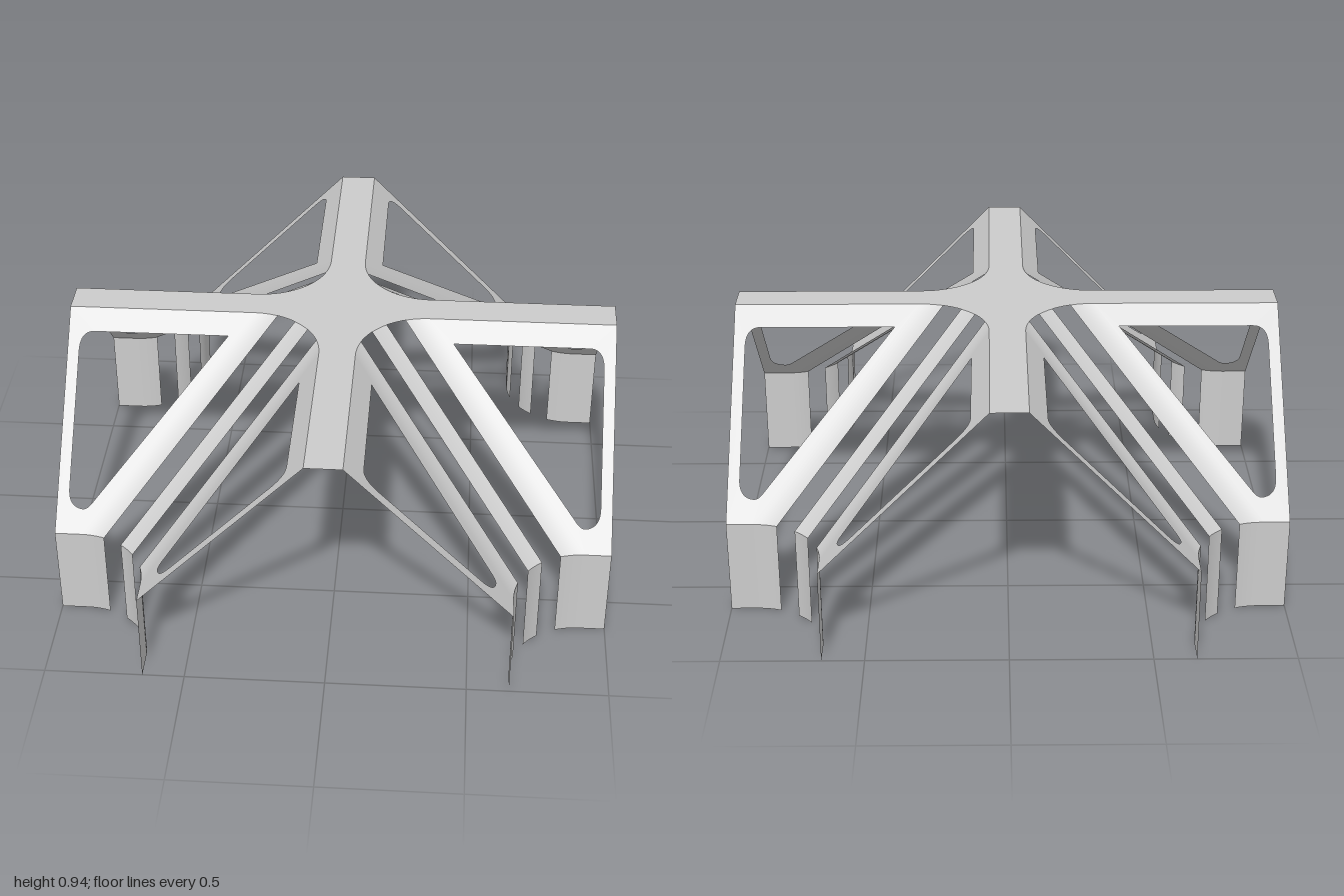
import * as THREE from 'three';

const TOP = 0.945, KNEE = 0.345;   // heights of the roof and of the bend into the legs
const HALF = 0.065, R = 0.256;     // half width of an arm, fillet radius between arms
const C = HALF + R;                // fillet centre
const RUN = 0.585;                 // sideways run of the sloping sheets

const steel = new THREE.MeshStandardMaterial({ color: 0xcccccc, side: THREE.DoubleSide });
steel.name = 'lightGreyMetal';

// Plan points [x, z] on the fillet, from angle a0 to a1 in degrees
function fillet(a0, a1, n) {
  return Array.from({ length: n + 1 }, (_, i) => {
    const a = THREE.MathUtils.degToRad(a0 + (a1 - a0) * i / n);
    return [C - R * Math.sin(a), C - R * Math.cos(a)];
  });
}

// Sheet ruled between a plan curve shifted by s0 at height y0 and by s1 at y1
function ruled(curve, s0, y0, s1, y1) {
  const pos = [], index = [], n = curve.length;
  for (const [s, y] of [[s0, y0], [s1, y1]])
    for (const [x, z] of curve) pos.push(x + s, y, z + s);
  for (let i = 0; i < n - 1; i++) index.push(i, n + i, i + 1, i + 1, n + i, n + i + 1);
  const g = new THREE.BufferGeometry();
  g.setAttribute('position', new THREE.Float32BufferAttribute(pos, 3));
  g.setIndex(index);
  g.computeVertexNormals();
  return g;
}

// Flat part of a sloping panel with its rounded triangular window
function panelGeometry() {
  const s = new THREE.Shape();
  s.moveTo(C, TOP);
  s.lineTo(C + RUN, KNEE);
  s.lineTo(1, KNEE);
  s.lineTo(1, TOP);
  s.closePath();
  const h = new THREE.Path();
  h.moveTo(0.412, 0.88);
  h.lineTo(0.905, 0.88);
  h.quadraticCurveTo(0.957, 0.88, 0.957, 0.825);
  h.lineTo(0.957, 0.465);
  h.quadraticCurveTo(0.957, 0.415, 0.905, 0.411);
  h.quadraticCurveTo(0.888, 0.411, 0.874, 0.425);
  h.closePath();
  s.holes.push(h);
  const g = new THREE.ShapeGeometry(s, 10), p = g.attributes.position;
  for (let i = 0; i < p.count; i++) p.setZ(i, HALF + RUN * (TOP - p.getY(i)) / (TOP - KNEE));
  g.computeVertexNormals();
  return g;
}

// Mirror a geometry across the diagonal x = z, keeping faces outward
function swapXZ(source) {
  const g = source.clone(), p = g.attributes.position, ix = g.index;
  for (let i = 0; i < p.count; i++) p.setXYZ(i, p.getZ(i), p.getY(i), p.getX(i));
  for (let i = 0; i < ix.count; i += 3) {
    const b = ix.getX(i + 1);
    ix.setX(i + 1, ix.getX(i + 2));
    ix.setX(i + 2, b);
  }
  g.computeVertexNormals();
  return g;
}

// Flat cross-shaped roof with filleted inner corners
function roofGeometry() {
  const s = new THREE.Shape();
  for (let k = 0; k < 4; k++) {
    const c = Math.round(Math.cos(k * Math.PI / 2)), n = Math.round(Math.sin(k * Math.PI / 2));
    const quarter = [[1, -HALF], [1, HALF], ...fillet(0, 90, 24)];
    quarter.forEach(([x, y], i) => {
      const q = [x * c - y * n, x * n + y * c];
      if (k === 0 && i === 0) s.moveTo(...q); else s.lineTo(...q);
    });
  }
  s.closePath();
  return new THREE.ShapeGeometry(s).rotateX(-Math.PI / 2).translate(0, TOP, 0);
}

export function createModel() {
  const model = new THREE.Group();
  model.name = 'canopyFrame';
  const add = (parent, name, geometry) => {
    const m = new THREE.Mesh(geometry, steel);
    m.name = name;
    parent.add(m);
  };

  add(model, 'roof', roofGeometry());

  // Curved inner edge of a panel, its outer flat sheet and its leg
  const edge = fillet(20, 0, 8);
  const side = {
    panel: panelGeometry(),
    panelEdge: ruled(edge, 0, TOP, RUN, KNEE),
    panelLeg: ruled([...edge, [1 - RUN, HALF]], RUN, KNEE, RUN, 0),
  };
  // Narrow strip on the diagonal and its leg
  const strip = fillet(53, 37, 6);
  const stripSlope = ruled(strip, 0, TOP, RUN, KNEE);
  const stripLeg = ruled(strip, RUN, KNEE, RUN, 0);

  for (let k = 0; k < 4; k++) {
    const corner = new THREE.Group();
    corner.name = 'corner' + (k + 1);
    corner.rotation.y = k * Math.PI / 2;
    for (const [name, g] of Object.entries(side)) {
      add(corner, name + 'A', g);
      add(corner, name + 'B', swapXZ(g));
    }
    add(corner, 'diagonalStrip', stripSlope);
    add(corner, 'diagonalStripLeg', stripLeg);
    model.add(corner);
  }
  return model;
}
